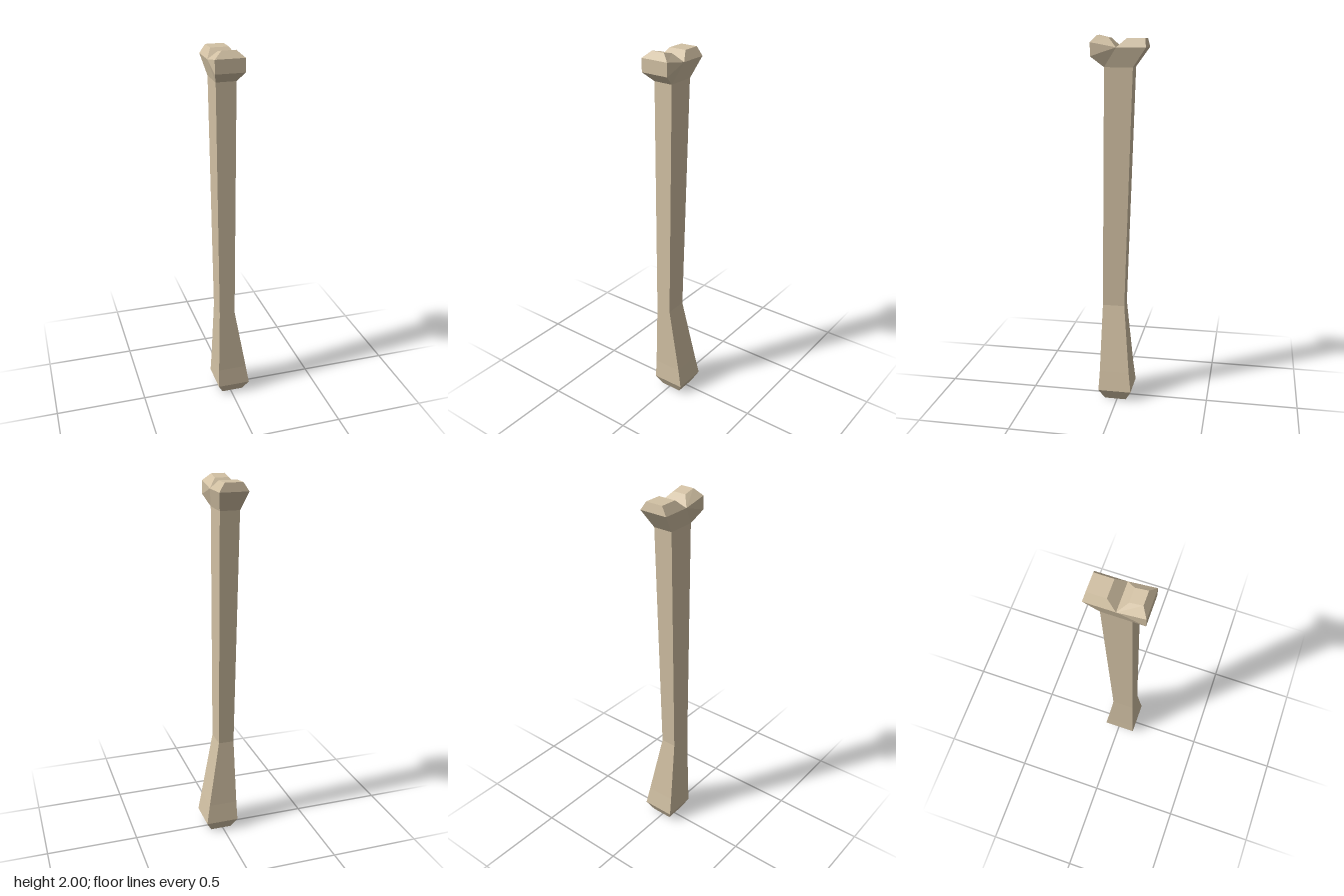
import * as THREE from 'three';

// Rectangular cross-section; front and back edges may sit at different heights
const rect = (x0, x1, zFront, yFront, zBack, yBack = yFront) => [
  [x0, yFront, zFront], [x1, yFront, zFront], [x1, yBack, zBack], [x0, yBack, zBack],
];

// Flat-faced mesh from convex polygons listed counter-clockwise
function polyMesh(name, polygons, material) {
  const pos = [];
  for (const p of polygons) {
    for (let i = 1; i < p.length - 1; i++) pos.push(...p[0], ...p[i], ...p[i + 1]);
  }
  const g = new THREE.BufferGeometry();
  g.setAttribute('position', new THREE.Float32BufferAttribute(pos, 3));
  g.computeVertexNormals();
  const mesh = new THREE.Mesh(g, material);
  mesh.name = name;
  return mesh;
}

// Side faces joining successive sections from bottom to top
function loft(rings) {
  const faces = [];
  for (let r = 0; r < rings.length - 1; r++) {
    const a = rings[r], b = rings[r + 1];
    for (let i = 0; i < 4; i++) {
      const j = (i + 1) % 4;
      faces.push([a[i], a[j], b[j], b[i]]);
    }
  }
  return faces;
}

export function createModel() {
  const group = new THREE.Group();
  group.name = 'bone';
  const bone = new THREE.MeshStandardMaterial({ color: 0xd2c1a4 });
  bone.name = 'bone tan';

  // Shaft with a flared, chamfered lower end
  const shaft = [
    rect(-0.05, 0.07, 0.07, 0, -0.05),
    rect(-0.08, 0.102, 0.101, 0.06, -0.082),
    rect(-0.077, 0.083, 0.096, 0.17, -0.068),
    rect(-0.07, 0.016, 0.09, 0.54, -0.031),
    rect(-0.081, 0.025, 0.075, 1.84, -0.075),
  ];
  group.add(polyMesh('shaft', [...loft(shaft), [...shaft[0]].reverse()], bone));

  // Forked flare between the shaft and the two knobs
  const L = -0.104, R = 0.05;
  const [A, B, C, N, D, E] = [
    [-0.081, 0.025, 1.84, 0.075],
    [L, R, 1.895, 0.143],
    [L, R, 1.965, 0.143],
    [L, R, 1.94, 0.008],
    [L, R, 1.94, -0.145],
    [-0.081, 0.025, 1.84, -0.075],
  ].map(([x0, x1, y, z]) => [[x0, y, z], [x1, y, z]]);
  const flare = [
    [A[0], A[1], B[1], B[0]],
    [B[0], B[1], C[1], C[0]],
    [E[1], E[0], D[0], D[1]],
  ];
  for (const [p, q] of [[C, B], [B, A], [A, E], [E, D]]) {
    flare.push([N[1], p[1], q[1]], [N[0], q[0], p[0]]);
  }
  group.add(polyMesh('forkedFlare', flare, bone));

  // Bevelled knobs on either side of the notch
  const knob = (name, base, top) =>
    group.add(polyMesh(name, [...loft([base, top]), top], bone));
  knob('frontKnob', rect(L, R, 0.143, 1.965, 0.008, 1.94),
    rect(-0.063, 0.01, 0.115, 2.0, 0.052, 1.986));
  knob('backKnob', rect(L, R, 0.008, 1.94, -0.145),
    rect(-0.075, 0.021, -0.042, 1.985, -0.137));

  return group;
}
